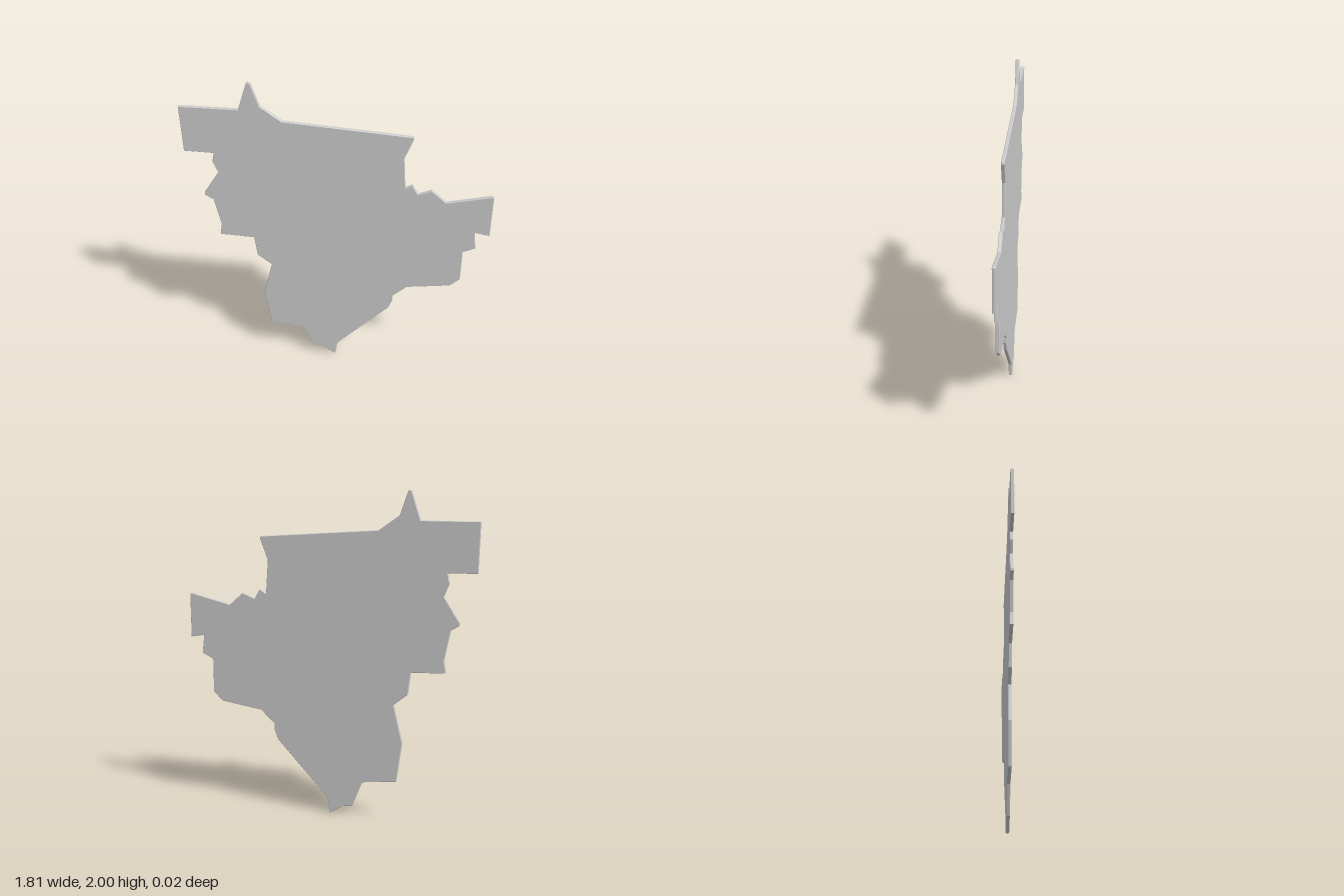
import * as THREE from 'three';

// Outline of the plate, clockwise from the upper left corner
const OUTLINE = [
  [-0.905, 1.828], [-0.562, 1.828], [-0.507, 1.995], [-0.497, 2.0], [-0.487, 1.995],
  [-0.44, 1.857], [-0.315, 1.768], [0.42, 1.717], [0.425, 1.705], [0.376, 1.575],
  [0.39, 1.37], [0.43, 1.395], [0.466, 1.335], [0.545, 1.367], [0.633, 1.29],
  [0.893, 1.352], [0.902, 1.345], [0.902, 1.073], [0.814, 1.088], [0.828, 0.973],
  [0.756, 0.938], [0.756, 0.728], [0.75, 0.72], [0.698, 0.669], [0.433, 0.631],
  [0.346, 0.55], [0.346, 0.512], [0.322, 0.448], [-0.005, 0.1], [-0.019, 0.004],
  [-0.026, 0.002], [-0.1, 0.053], [-0.165, 0.062], [-0.228, 0.224], [-0.443, 0.251],
  [-0.476, 0.5], [-0.42, 0.733], [-0.505, 0.802], [-0.521, 0.938], [-0.73, 0.947],
  [-0.717, 1.025], [-0.752, 1.203], [-0.803, 1.234], [-0.803, 1.25], [-0.707, 1.4],
  [-0.737, 1.475], [-0.725, 1.533], [-0.899, 1.536],
];

export function createModel() {
  const group = new THREE.Group();
  const shape = new THREE.Shape(OUTLINE.map(([x, y]) => new THREE.Vector2(x, y)));

  // Thin slab with finely bevelled rims
  const bevel = 0.003;
  const thickness = 0.021;
  const geometry = new THREE.ExtrudeGeometry(shape, {
    depth: thickness - 2 * bevel,
    bevelEnabled: true,
    bevelThickness: bevel,
    bevelSize: bevel,
    bevelOffset: -bevel,
    bevelSegments: 1,
  });
  geometry.translate(0, 0, -thickness / 2 + bevel);

  const plate = new THREE.Mesh(
    geometry,
    new THREE.MeshStandardMaterial({ color: 0xcccccc, flatShading: true })
  );
  plate.name = 'outlinePlate';
  group.add(plate);
  return group;
}
